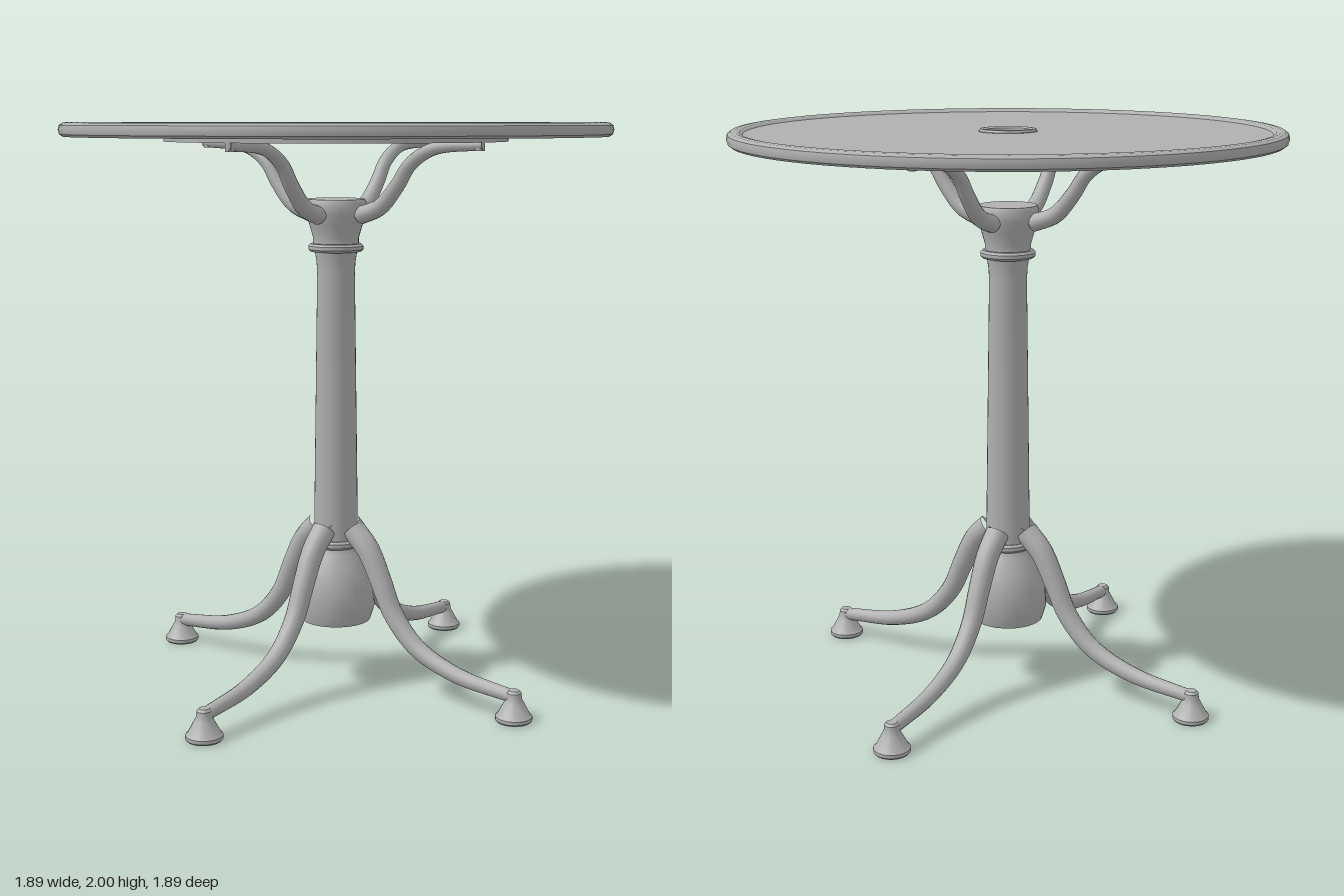
import * as THREE from 'three';
import { toCreasedNormals } from 'three/addons/utils/BufferGeometryUtils.js';

const metal = new THREE.MeshStandardMaterial({ color: 0xb0b0b0 });
metal.name = 'grey metal';

function part(name, geometry, parent) {
  const mesh = new THREE.Mesh(geometry, metal);
  mesh.name = name;
  parent.add(mesh);
  return mesh;
}

// Turned part from [radius, height] pairs, running upwards on the outside
function turned(name, profile, parent, segments = 32) {
  const points = profile.map(([r, y]) => new THREE.Vector2(r, y));
  return part(name, toCreasedNormals(new THREE.LatheGeometry(points, segments), 0.6), parent);
}

// Tube in the x-y plane that tapers from r0 to r1, with flat end caps
function taperedTube(name, path, r0, r1, parent) {
  const curve = new THREE.CatmullRomCurve3(path.map(([x, y]) => new THREE.Vector3(x, y, 0)));
  const steps = 28, sides = 14;
  const geometry = new THREE.TubeGeometry(curve, steps, 1, sides);
  const pos = geometry.attributes.position;
  const v = new THREE.Vector3();
  for (let i = 0; i < pos.count; i++) {
    const t = Math.floor(i / (sides + 1)) / steps;
    const centre = curve.getPointAt(t);
    v.fromBufferAttribute(pos, i).sub(centre).multiplyScalar(r0 + (r1 - r0) * t).add(centre);
    pos.setXYZ(i, v.x, v.y, v.z);
  }
  part(name, geometry, parent);
  for (const [t, r, dir] of [[0, r0, -1], [1, r1, 1]]) {
    const cap = part(name + 'Cap', new THREE.CircleGeometry(r, sides), parent);
    cap.position.copy(curve.getPointAt(t));
    cap.lookAt(cap.position.clone().addScaledVector(curve.getTangentAt(t), dir));
  }
}

export function createModel() {
  const table = new THREE.Group();
  table.name = 'pedestalTable';

  // Round top with a rolled edge and a hole in the middle
  turned('tableTop', [
    [0.072, 1.96], [0.9, 1.96], [0.907, 1.952], [0.93, 1.952], [0.941, 1.96], [0.945, 1.975],
    [0.941, 1.99], [0.93, 1.998], [0.915, 2], [0.9, 1.997], [0.89, 1.988],
    [0.072, 1.988], [0.072, 1.96],
  ], table, 80);

  // Raised lip around the hole
  turned('holeLip', [
    [0.072, 1.958], [0.1, 1.958], [0.1, 1.99], [0.095, 1.997], [0.085, 1.998],
    [0.075, 1.993], [0.072, 1.985], [0.072, 1.958],
  ], table, 40);

  // Flat ring under the top
  turned('supportRing', [
    [0.555, 1.935], [0.592, 1.935], [0.592, 1.961], [0.555, 1.961], [0.555, 1.935],
  ], table, 64);

  // Column, weighted base and neck collar
  turned('column', [
    [0.05, 0.5], [0.078, 0.53], [0.078, 0.6], [0.066, 1.48], [0.068, 1.52], [0.076, 1.57],
  ], table);
  turned('baseBulb', [
    [0, 0.23], [0.125, 0.23], [0.14, 0.28], [0.134, 0.365], [0.115, 0.43], [0.085, 0.48],
    [0.07, 0.51], [0.07, 0.54],
  ], table);
  turned('neckCollar', [
    [0.06, 0.5], [0.08, 0.5], [0.088, 0.508], [0.088, 0.522], [0.08, 0.53], [0.06, 0.53],
  ], table);

  // Flared head with its collar
  turned('headCollar', [
    [0.06, 1.556], [0.088, 1.556], [0.096, 1.564], [0.096, 1.576], [0.088, 1.584], [0.06, 1.584],
  ], table);
  turned('columnHead', [
    [0.07, 1.575], [0.08, 1.585], [0.08, 1.605], [0.093, 1.65], [0.105, 1.69],
    [0.107, 1.725], [0.1, 1.738], [0, 1.738],
  ], table);

  // Four legs and four top brackets on the diagonals
  const legPath = [[0.075, 0.57], [0.14, 0.505], [0.195, 0.4], [0.25, 0.285], [0.35, 0.18],
    [0.51, 0.115], [0.735, 0.085]];
  const armPath = [[0.1, 1.683], [0.185, 1.715], [0.255, 1.79], [0.305, 1.86], [0.395, 1.912],
    [0.59, 1.927]];
  for (let i = 0; i < 4; i++) {
    const quarter = new THREE.Group();
    quarter.name = 'quarter' + (i + 1);
    quarter.rotation.y = Math.PI / 4 + i * Math.PI / 2;
    table.add(quarter);

    taperedTube('leg', legPath, 0.043, 0.023, quarter);
    const foot = turned('foot', [
      [0, 0], [0.058, 0], [0.063, 0.006], [0.063, 0.018], [0.056, 0.024], [0.034, 0.066],
      [0.027, 0.078], [0.025, 0.1], [0.018, 0.108], [0, 0.11],
    ], quarter, 24);
    foot.position.x = 0.742;

    taperedTube('topBracket', armPath, 0.031, 0.017, quarter);
    const bolt = part('bracketBolt', new THREE.CylinderGeometry(0.016, 0.016, 0.035, 16), quarter);
    bolt.position.set(0.575, 1.925, 0);
  }
  return table;
}
